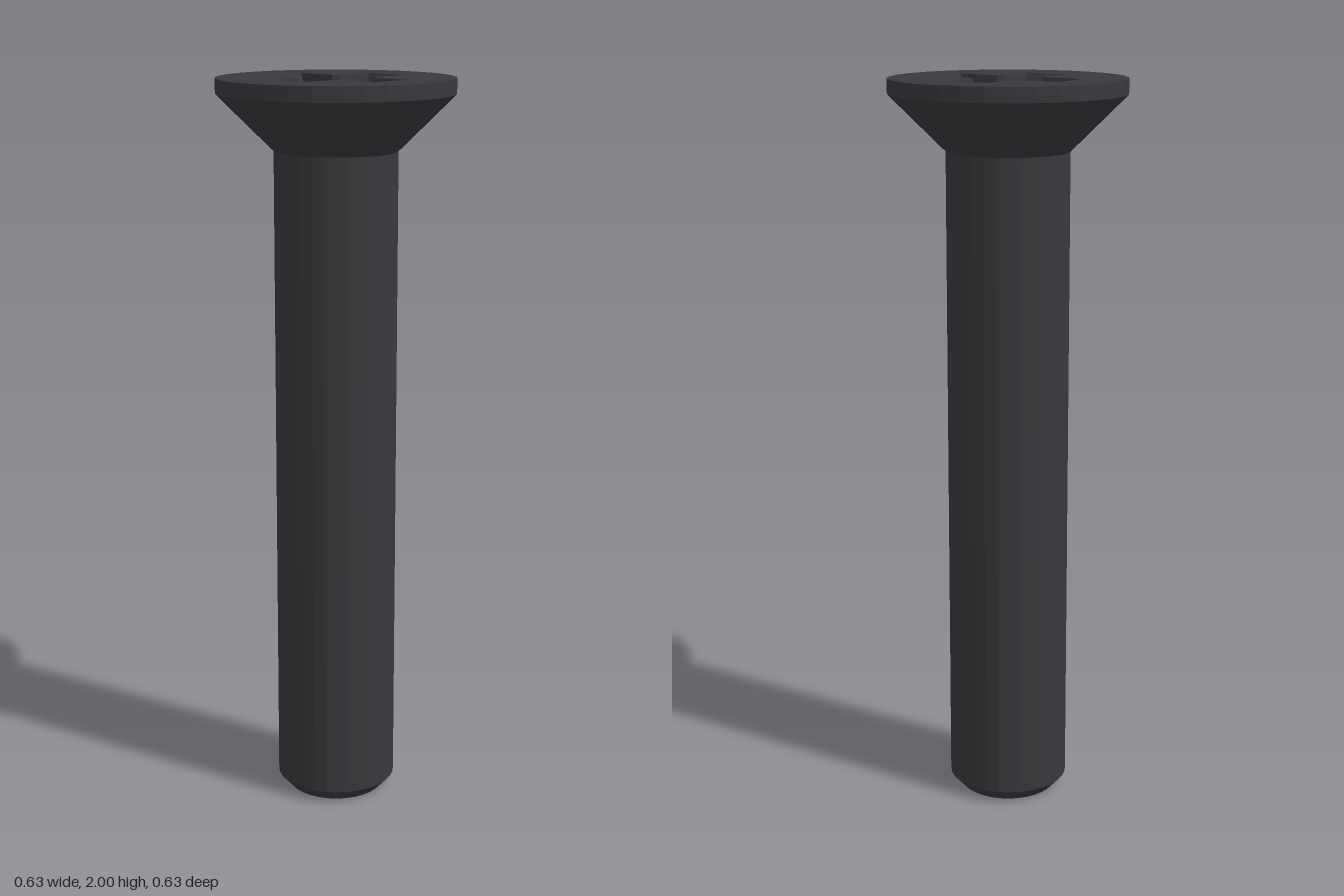
import * as THREE from 'three';

const SEG = 32;
const TOP = 2, FLOOR = 1.86, TIP = 1.83;
const HEAD_R = 0.317;

// Cross outline, counter-clockwise: half length, half width, inner corner
function crossPoints(len, w, c) {
  const quarter = [[len, w], [c, w], [w, c], [w, len]];
  const pts = [];
  for (let q = 0; q < 4; q++) {
    for (const [x, y] of quarter) {
      const p = new THREE.Vector2(x, y);
      for (let k = 0; k < q; k++) p.set(-p.y, p.x);
      pts.push(p);
    }
  }
  return pts;
}

export function createModel() {
  const group = new THREE.Group();
  const material = new THREE.MeshStandardMaterial({ color: 0x38393c, flatShading: true });
  const add = (name, geometry) => {
    const mesh = new THREE.Mesh(geometry, material);
    mesh.name = name;
    group.add(mesh);
    return mesh;
  };
  const lathe = (name, profile) =>
    add(name, new THREE.LatheGeometry(profile.map(([r, y]) => new THREE.Vector2(r, y)), SEG));

  // Shank with chamfered end, and countersunk head
  lathe('shank', [[0, 0], [0.133, 0], [0.165, 0.035], [0.165, 1.81]]);
  lathe('head', [[0.165, 1.81], [HEAD_R, 1.96], [HEAD_R, TOP]]);

  // Flat top of the head with the cross opening
  const upper = crossPoints(0.192, 0.061, 0.075);
  const lower = crossPoints(0.127, 0.046, 0.066);
  const disc = [];
  for (let i = 0; i < SEG; i++) {
    const a = (i / SEG) * Math.PI * 2;
    disc.push(new THREE.Vector2(Math.cos(a) * HEAD_R, Math.sin(a) * HEAD_R));
  }
  const face = new THREE.Shape(disc);
  face.holes.push(new THREE.Path(upper));
  add('headTop', new THREE.ShapeGeometry(face).rotateX(-Math.PI / 2).translate(0, TOP, 0));

  // Tapered recess walls, facing inward
  const pos = [];
  upper.forEach((a, i) => {
    const j = (i + 1) % upper.length;
    const ta = [a.x, TOP, -a.y], tb = [upper[j].x, TOP, -upper[j].y];
    const la = [lower[i].x, FLOOR, -lower[i].y], lb = [lower[j].x, FLOOR, -lower[j].y];
    pos.push(...tb, ...lb, ...la, ...tb, ...la, ...ta);
  });
  const walls = new THREE.BufferGeometry();
  walls.setAttribute('position', new THREE.Float32BufferAttribute(pos, 3));
  walls.computeVertexNormals();
  add('recessWalls', walls);

  // Four slot floors, each ending on the rim of the central cone
  const coneR = Math.hypot(0.066, 0.046);
  const half = Math.atan2(0.046, 0.066);
  const arm = new THREE.Shape();
  arm.moveTo(0.127, -0.046);
  arm.lineTo(0.127, 0.046);
  arm.lineTo(0.066, 0.046);
  arm.absarc(0, 0, coneR, half, -half, true);
  const armGeometry = new THREE.ShapeGeometry(arm, 8).rotateX(-Math.PI / 2);
  for (let q = 0; q < 4; q++) {
    const floor = add('slotFloor', armGeometry);
    floor.position.y = FLOOR;
    floor.rotation.y = (q * Math.PI) / 2;
  }

  // Conical bottom of the recess
  lathe('recessCone', [[coneR, FLOOR], [0, TIP]]);

  return group;
}
